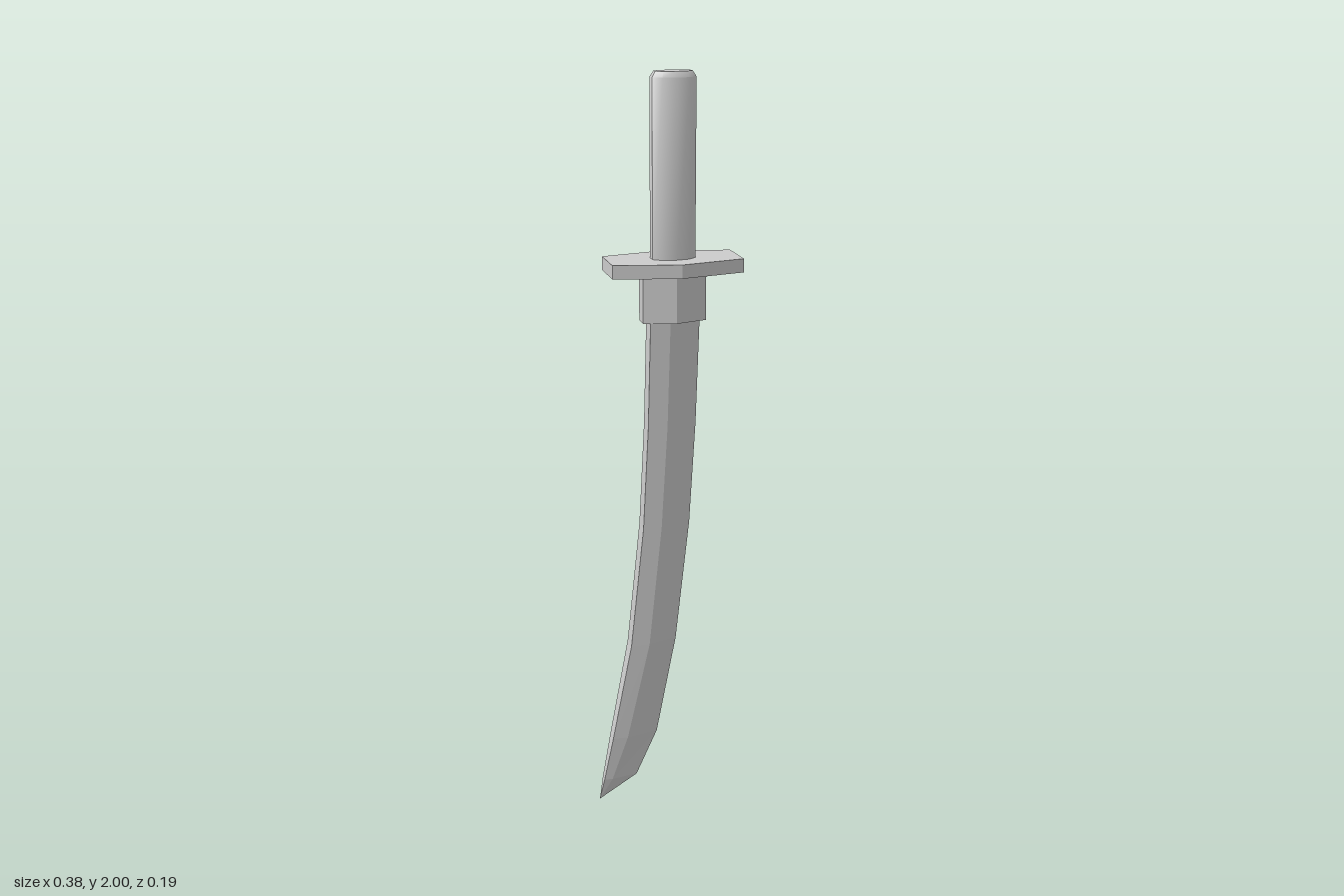
import * as THREE from 'three';
import { toCreasedNormals } from 'three/addons/utils/BufferGeometryUtils.js';

const CX = 0.02; // axis of the hilt

// Skin a stack of equal-length rings, bottom to top; each ring runs +x, -z, -x, +z
function loft(rings) {
  const pos = [];
  const tri = (...pts) => pts.forEach((p) => pos.push(...p));
  const n = rings[0].length;
  for (let r = 0; r < rings.length - 1; r++) {
    for (let i = 0; i < n; i++) {
      const j = (i + 1) % n, lo = rings[r], hi = rings[r + 1];
      tri(lo[i], lo[j], hi[j]);
      tri(lo[i], hi[j], hi[i]);
    }
  }
  const bottom = rings[0], top = rings[rings.length - 1];
  for (let i = 1; i < n - 1; i++) {
    tri(top[0], top[i], top[i + 1]);
    tri(bottom[0], bottom[i + 1], bottom[i]);
  }
  const geo = new THREE.BufferGeometry();
  geo.setAttribute('position', new THREE.Float32BufferAttribute(pos, 3));
  geo.computeVertexNormals();
  return geo;
}

// Mirror a quarter outline (from the +x end to the middle) into a full ring
function ring(quarter, y, sx = 1, sz = 1) {
  const mid = quarter.length - 1;
  const half = [...quarter, ...quarter.slice(0, mid).reverse().map(([x, z]) => [-x, z])];
  const full = [...half.map(([x, z]) => [x, -z]), ...[...half].reverse()];
  // the end faces join the two halves, so the middle points are kept once per side
  return full.map(([x, z]) => [CX + x * sx, y, z * sz]);
}

export function createModel() {
  const group = new THREE.Group();
  const add = (name, geo, flatShading = true) => {
    const mesh = new THREE.Mesh(geo, new THREE.MeshStandardMaterial({ color: 0xcccccc, flatShading }));
    mesh.name = name;
    group.add(mesh);
  };

  // Handle: ten-sided oval with a bevelled top
  const oval = [[0.056, 0.013], [0.035, 0.03], [0, 0.036]];
  add('handle', toCreasedNormals(loft([
    ring(oval, 1.52), ring(oval, 1.986), ring(oval, 2, 0.84, 0.75),
  ]), 0.62), false);

  // Guard: flat elongated hexagon
  const guard = [[0.17, 0.06], [0, 0.095]];
  add('guard', loft([ring(guard, 1.505), ring(guard, 1.54)]));

  // Collar between guard and blade
  const collar = [[0.083, 0.02], [0, 0.043]];
  add('bladeCollar', loft([ring(collar, 1.378), ring(collar, 1.505)]));

  // Blade: [y, edge x, ridge x, spine x, ridge half width, spine half width]
  const stations = [
    [0.005, -0.19, -0.19, -0.19, 0, 0],
    [0.07, -0.083, -0.155, -0.178, 0.012, 0.011],
    [0.2, -0.024, -0.112, -0.153, 0.02, 0.018],
    [0.48, 0.03, -0.05, -0.1, 0.025, 0.022],
    [0.82, 0.067, -0.016, -0.065, 0.026, 0.023],
    [1.1, 0.083, 0, -0.051, 0.026, 0.023],
    [1.38, 0.092, 0.008, -0.044, 0.026, 0.023],
    [1.45, 0.092, 0.008, -0.044, 0.026, 0.023],
  ];
  add('blade', loft(stations.map(([y, edge, ridge, spine, rw, sw]) => [
    [edge, y, 0], [ridge, y, -rw], [spine, y, -sw], [spine, y, sw], [ridge, y, rw],
  ])));

  return group;
}
